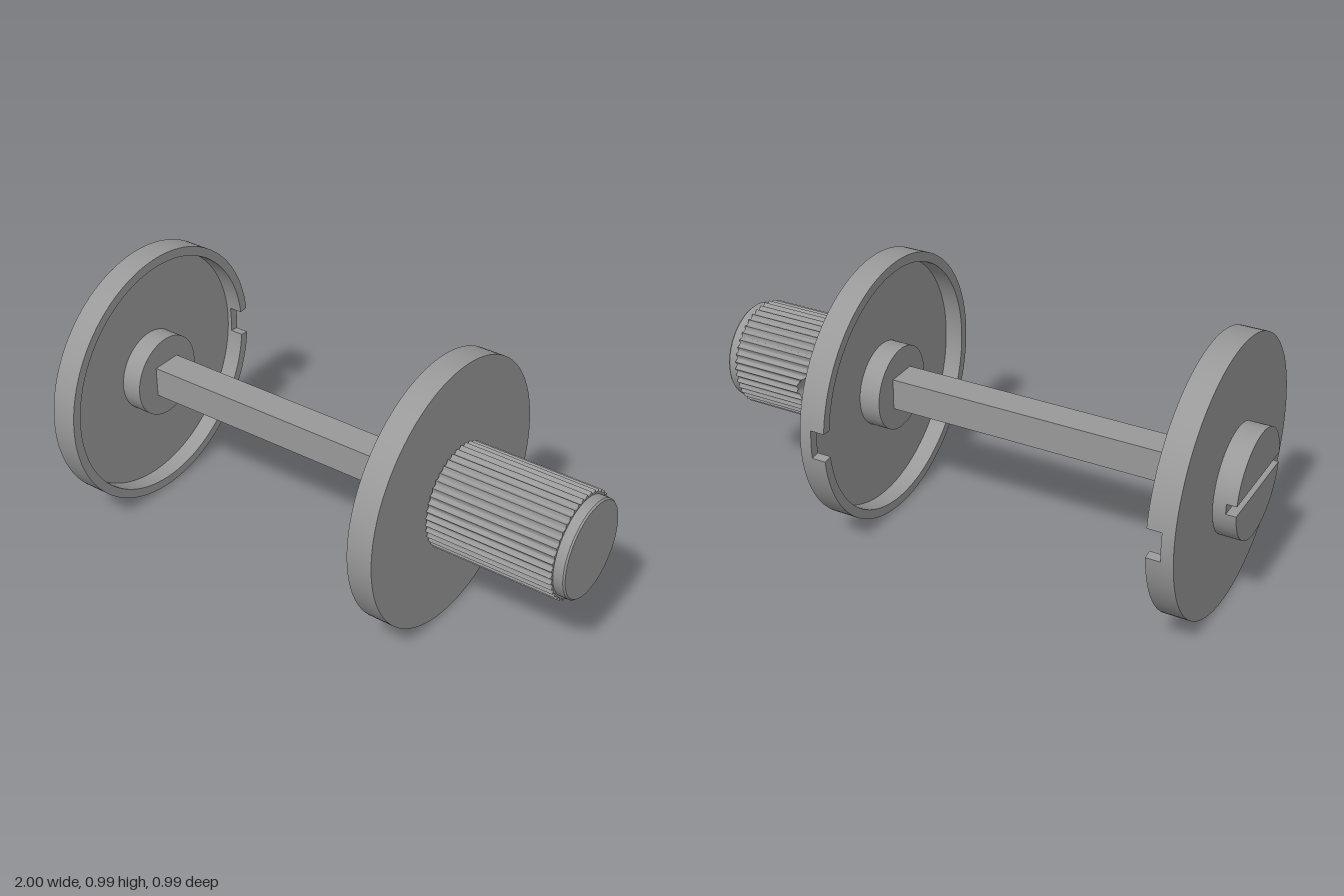
import * as THREE from 'three';
import { toCreasedNormals } from 'three/addons/utils/BufferGeometryUtils.js';

const TAU = Math.PI * 2;
const metal = new THREE.MeshStandardMaterial({ color: 0x999999, side: THREE.DoubleSide });
metal.name = 'grey metal';

// Builds a surface from equally long rows of [x, y, z] points
function loft(rows, crease = 0.5) {
  const pos = [];
  for (let i = 0; i < rows.length - 1; i++) {
    for (let j = 0; j < rows[i].length - 1; j++) {
      const a = rows[i][j], b = rows[i + 1][j], c = rows[i + 1][j + 1], d = rows[i][j + 1];
      pos.push(...a, ...b, ...c, ...a, ...c, ...d);
    }
  }
  const geo = new THREE.BufferGeometry();
  geo.setAttribute('position', new THREE.Float32BufferAttribute(pos, 3));
  return toCreasedNormals(geo, crease);
}

// Sweeps a profile of [x, radius] points about the x axis; angle 0 is the back
const onAxis = (x, r, a) => [x, r * Math.sin(a), -r * Math.cos(a)];
const sweep = (angles, profile, crease) =>
  loft(angles.map((a) => profile(a).map(([x, r]) => onAxis(x, r, a))), crease);
const range = (n, from = 0, to = TAU) =>
  Array.from({ length: n + 1 }, (_, i) => from + ((to - from) * i) / n);

function add(parent, name, geometry) {
  const mesh = new THREE.Mesh(geometry, metal);
  mesh.name = name;
  parent.add(mesh);
  return mesh;
}

// Plain solid of revolution along x
const turned = (...profile) => sweep(range(96), () => profile);
const rod = (x0, x1, r) => turned([x0, 0], [x0, r], [x1, r], [x1, 0]);

// Cylinder along x with a blind round hole drilled in from the back
function drilled(parent, name, { x0, x1, radius, steps, holeX, holeR, bottom, crease }) {
  const group = new THREE.Group();
  group.name = name;
  const angles = range(steps, -Math.PI, Math.PI);
  const edge = Math.asin(holeR / radius(0));
  angles.push(-edge, edge);
  angles.sort((a, b) => a - b);
  const half = (a) => {
    const y = radius(a) * Math.sin(a);
    return Math.cos(a) > 0 ? Math.sqrt(Math.max(0, holeR * holeR - y * y)) : 0;
  };
  add(group, name + 'InnerPart', sweep(angles, (a) =>
    [[x0, 0], [x0, radius(a)], [holeX - half(a), radius(a)]], crease));
  add(group, name + 'OuterPart', sweep(angles, (a) =>
    [[holeX + half(a), radius(a)], [x1, radius(a)], [x1, 0]], crease));
  // Hole wall and floor
  add(group, name + 'HoleWall', loft(range(48).map((t) => {
    const x = holeX + holeR * Math.cos(t), y = holeR * Math.sin(t);
    const r = radius(Math.asin(y / radius(0)));
    return [[x, y, bottom], [x, y, -Math.sqrt(r * r - y * y)]];
  })));
  const floor = add(group, name + 'HoleFloor', new THREE.CircleGeometry(holeR, 48));
  floor.rotation.y = Math.PI;
  floor.position.set(holeX, 0, bottom);
  parent.add(group);
}

// Shallow dish opening towards +x, with a notch in the back of its rim
function dishGeometry() {
  const R = 0.495, inner = 0.46, back = -0.048, floor = -0.02, lip = 0.048, cut = -0.004;
  const n = 0.11;
  const angles = [...range(10, -n, n), ...range(140, n, TAU - n)];
  // Doubled angles at the notch ends become its side walls
  const rows = angles.map((a, i) => {
    const x = i <= 10 ? cut : lip;
    return [[back, 0], [back, R], [x, R], [x, inner], [floor, inner], [floor, 0]]
      .map(([px, r]) => onAxis(px, r, a));
  });
  rows.push(rows[0]);
  return loft(rows);
}

export function createModel() {
  const model = new THREE.Group();
  model.name = 'spool';
  const axle = new THREE.Group();
  axle.name = 'axleAssembly';
  axle.position.y = 0.495;
  model.add(axle);

  // Square shaft
  const shaft = add(axle, 'squareShaft', new THREE.BoxGeometry(1.2, 0.118, 0.118));
  shaft.position.x = -0.22;

  // Two facing dishes
  const dish = dishGeometry();
  add(axle, 'rightDish', dish).position.x = -0.864;
  const leftDish = add(axle, 'leftDish', dish);
  leftDish.position.x = 0.423;
  leftDish.rotation.z = Math.PI;

  // Hubs inside the dishes, one with a set screw hole
  drilled(axle, 'drilledHub', {
    x0: -0.89, x1: -0.805, radius: () => 0.157, steps: 180,
    holeX: -0.846, holeR: 0.03, bottom: -0.09, crease: 0.5,
  });
  add(axle, 'plainHub', rod(0.364, 0.45, 0.157));

  // Slotted screw head
  add(axle, 'screwNeck', rod(-0.925, -0.905, 0.17));
  add(axle, 'screwHeadBase', rod(-0.964, -0.918, 0.195));
  const start = Math.asin(0.019 / 0.195);
  const segment = new THREE.Shape().absarc(0, 0, 0.195, start, Math.PI - start);
  const segmentGeo = toCreasedNormals(new THREE.ExtrudeGeometry(segment,
    { depth: 0.036, bevelEnabled: false, curveSegments: 48 }).rotateY(Math.PI / 2), 0.5);
  for (const turn of [0, Math.PI]) {
    const part = add(axle, 'screwHeadHalf', segmentGeo);
    part.position.x = -1;
    part.rotation.x = turn;
  }

  // Fluted knob with a hole in the back and a smooth end cap
  const flutes = 44;
  add(axle, 'knobNeck', rod(0.46, 0.49, 0.17));
  drilled(axle, 'knob', {
    x0: 0.479, x1: 0.958, steps: flutes * 8, holeX: 0.64, holeR: 0.05, bottom: -0.06, crease: 0.6,
    radius: (a) => 0.195 - 0.011 * Math.abs(Math.sin((a * flutes) / 2 + Math.PI / 2)),
  });
  add(axle, 'knobEndCap', turned([0.95, 0], [0.95, 0.179], [0.994, 0.179], [1, 0.174], [1, 0]));

  return model;
}
